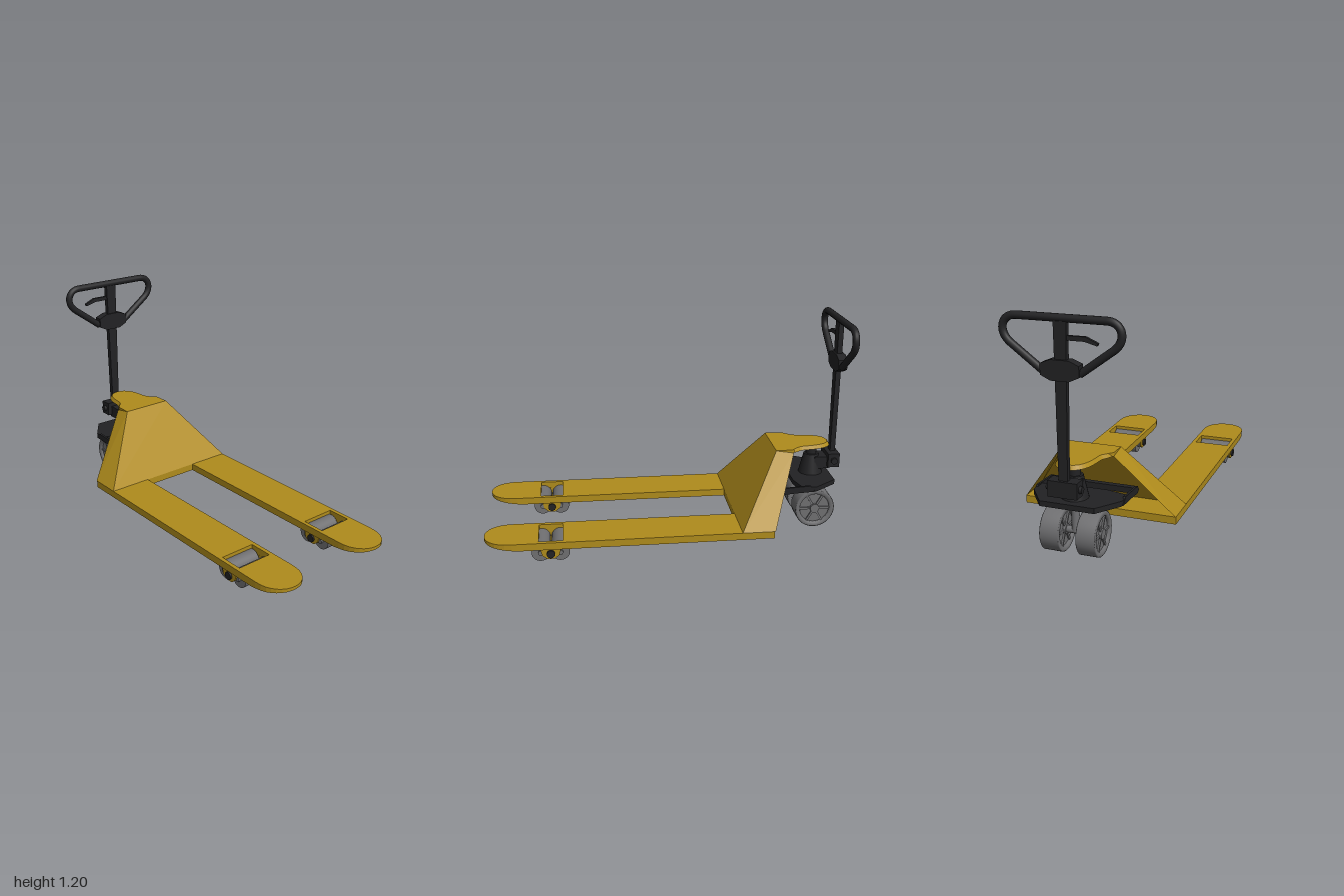
import * as THREE from 'three';

const mat = (color) => new THREE.MeshStandardMaterial({ color, side: THREE.DoubleSide });

export function createModel() {
  const root = new THREE.Group();
  root.name = 'palletTruck';
  const yellow = mat(0xb08c1c), black = mat(0x222224), grey = mat(0x707072);
  const flatYellow = yellow.clone();
  flatYellow.flatShading = true;

  const add = (name, geo, material, x = 0, y = 0, z = 0, parent = root) => {
    const m = new THREE.Mesh(geo, material);
    m.name = name;
    m.position.set(x, y, z);
    parent.add(m);
    return m;
  };
  const box = (name, material, x0, x1, y0, y1, z0, z1) =>
    add(name, new THREE.BoxGeometry(x1 - x0, y1 - y0, z1 - z0), material, (x0 + x1) / 2, (y0 + y1) / 2, (z0 + z1) / 2);
  const shapeOf = (pts) => new THREE.Shape(pts.map(([x, y]) => new THREE.Vector2(x, y)));
  const mirrored = (pts) => [...pts, ...pts.slice().reverse().map(([x, z]) => [x, -z])];
  // Plan shape (x, z) raised to a plate of the given thickness
  const plate = (shape, depth) =>
    new THREE.ExtrudeGeometry(shape, { depth, bevelEnabled: false }).rotateX(-Math.PI / 2);
  // Cylinder lying along z
  const axleGeo = (r, len, seg = 32) => new THREE.CylinderGeometry(r, r, len, seg).rotateX(Math.PI / 2);

  // Forks, each with a roller window, rounded and tapered tip, and twin rollers
  const half = 0.1225, bottom = 0.078, top = 0.118;
  for (const s of [1, -1]) {
    const fork = new THREE.Group();
    fork.name = s > 0 ? 'leftFork' : 'rightFork';
    fork.position.z = s * 0.2925;
    root.add(fork);

    const body = shapeOf([[-0.38, -half], [0.82, -half], [0.82, half], [-0.38, half]]);
    body.holes.push(shapeOf([[0.58, -0.1], [0.58, 0.1], [0.71, 0.1], [0.71, -0.1]]));
    add('forkBlade', plate(body, top - bottom), flatYellow, 0, bottom, 0, fork);

    const tipPts = [[0.82, -half]];
    for (let i = 0; i <= 16; i++) {
      const a = -Math.PI / 2 + (Math.PI * i) / 16;
      tipPts.push([0.85 + 0.15 * Math.pow(Math.abs(Math.cos(a)), 0.85), half * Math.sin(a)]);
    }
    tipPts.push([0.82, half]);
    const tip = plate(shapeOf(tipPts), top - bottom);
    const p = tip.attributes.position;
    for (let i = 0; i < p.count; i++)
      if (p.getY(i) < 0.01) p.setY(i, ((p.getX(i) - 0.82) / 0.18) * 0.022);
    tip.computeVertexNormals();
    add('forkTip', tip, flatYellow, 0, bottom, 0, fork);

    for (const x of [0.595, 0.7]) {
      add('loadRoller', axleGeo(0.05, 0.186), grey, x, 0.05, 0, fork);
      add('rollerPin', axleGeo(0.014, 0.21, 16), grey, x, 0.05, 0, fork);
    }
    // Roller carriers and their pivot bolts
    const carrier = shapeOf([[-0.055, 0.03], [0.055, 0.03], [0.045, -0.01], [0.02, -0.03], [-0.02, -0.03], [-0.045, -0.01]]);
    for (const t of [1, -1]) {
      const g = new THREE.ExtrudeGeometry(carrier, { depth: 0.014, bevelEnabled: false });
      add('rollerCarrier', g, flatYellow, 0.647, 0.05, t * 0.106 - 0.007, fork);
      add('pivotBolt', axleGeo(0.022, 0.012, 16), black, 0.647, 0.05, t * 0.117, fork);
    }
  }

  // Frame floor and the hollow sloped housing, open at the rear
  box('frameFloor', flatYellow, -0.555, -0.38, bottom, top, -0.415, 0.415);
  const quads = [];
  const quad = (a, b, c, d) => quads.push(...a, ...b, ...c, ...a, ...c, ...d);
  quad([-0.38, top, 0.415], [-0.38, top, -0.415], [-0.61, 0.477, -0.145], [-0.61, 0.477, 0.145]);
  quad([-0.56, top, 0.415], [-0.38, top, 0.415], [-0.61, 0.477, 0.145], [-0.71, 0.46, 0.145]);
  quad([-0.38, top, -0.415], [-0.56, top, -0.415], [-0.71, 0.46, -0.145], [-0.61, 0.477, -0.145]);
  const housing = new THREE.BufferGeometry();
  housing.setAttribute('position', new THREE.Float32BufferAttribute(quads, 3));
  housing.computeVertexNormals();
  add('housing', housing, flatYellow);

  // Tongue-shaped top plate with a drawn-in upper rim
  const curve = new THREE.SplineCurve(
    [[-0.7, 0.143], [-0.735, 0.125], [-0.77, 0.105], [-0.84, 0.096], [-0.9, 0.078], [-0.938, 0.045], [-0.95, 0]]
      .map(([x, z]) => new THREE.Vector2(x, z)));
  const side = curve.getPoints(18).map((v) => [v.x, v.y]);
  const tongue = plate(shapeOf(mirrored([[-0.61, 0.145], ...side.slice(0, -1), [-0.95, 0.003]])), 0.02);
  const tp = tongue.attributes.position;
  for (let i = 0; i < tp.count; i++)
    if (tp.getY(i) > 0.01 && tp.getX(i) < -0.72) {
      tp.setX(i, tp.getX(i) + 0.013 * Math.min(1, (-0.72 - tp.getX(i)) / 0.15));
      tp.setZ(i, tp.getZ(i) * 0.9);
    }
  tongue.computeVertexNormals();
  add('topPlate', tongue, flatYellow, 0, 0.458, 0);

  // Hydraulic pump, its base plate and the lift arms
  const base = shapeOf(mirrored([[-0.955, 0.14], [-0.83, 0.23], [-0.75, 0.235], [-0.72, 0.12]]));
  add('pumpBase', plate(base, 0.027), black, 0, 0.26, 0);
  add('pumpBody', new THREE.CylinderGeometry(0.042, 0.068, 0.115, 24), black, -0.85, 0.344, 0);
  add('pumpRam', new THREE.CylinderGeometry(0.03, 0.03, 0.08, 20), black, -0.85, 0.425, 0);
  const arm = shapeOf([[-0.82, 0.26], [-0.72, 0.255], [-0.62, 0.247], [-0.6, 0.26], [-0.62, 0.285], [-0.79, 0.295]]);
  for (const s of [1, -1])
    add('liftArm', new THREE.ExtrudeGeometry(arm, { depth: 0.012, bevelEnabled: false }), black, 0, 0, s * 0.229 - 0.006);
  box('liftCrossbar', black, -0.64, -0.61, 0.25, 0.28, -0.23, 0.23);

  // Steering spindle, axle and twin wheels
  add('steerSpindle', new THREE.CylinderGeometry(0.02, 0.02, 0.16, 20), grey, -0.85, 0.185, 0);
  add('steerAxle', axleGeo(0.018, 0.25, 20), grey, -0.85, 0.113, 0);
  const rim = [[0.085, -0.04], [0.09, -0.05], [0.108, -0.05], [0.113, -0.046], [0.113, 0.046], [0.108, 0.05], [0.09, 0.05], [0.085, 0.04]];
  const rimPts = [...rim, rim[0]].map(([r, y]) => new THREE.Vector2(r, y));
  for (const s of [1, -1]) {
    const wheel = new THREE.Group();
    wheel.name = s > 0 ? 'leftSteerWheel' : 'rightSteerWheel';
    wheel.position.set(-0.85, 0.113, s * 0.094);
    root.add(wheel);
    add('tyre', new THREE.LatheGeometry(rimPts, 48).rotateX(Math.PI / 2), grey, 0, 0, 0, wheel);
    add('wheelDisc', axleGeo(0.087, 0.07), grey, 0, 0, 0, wheel);
    add('wheelHub', axleGeo(0.026, 0.1, 24), grey, 0, 0, 0, wheel);
    for (let i = 0; i < 6; i++) {
      const a = (i * Math.PI) / 3;
      const spoke = add('wheelSpoke', new THREE.BoxGeometry(0.066, 0.012, 0.086), grey, Math.cos(a) * 0.055, Math.sin(a) * 0.055, 0, wheel);
      spoke.rotation.z = a;
    }
  }

  // Tiller bracket and tapered shaft
  const tx = -0.97;
  box('tillerBracket', black, -0.998, -0.932, 0.335, 0.415, -0.075, 0.075);
  box('tillerLink', black, -0.945, -0.86, 0.32, 0.39, -0.05, 0.05);
  add('tillerPin', axleGeo(0.018, 0.18, 16), black, -0.965, 0.375, 0);
  const shaft = new THREE.BoxGeometry(0.028, 0.82, 0.064);
  const sp = shaft.attributes.position;
  for (let i = 0; i < sp.count; i++) if (sp.getY(i) < 0) sp.setZ(i, sp.getZ(i) * 0.68);
  add('tillerShaft', shaft, black, tx, 0.77, 0);

  // Octagonal handle hub
  const hubShape = shapeOf([[-0.045, 0.992], [-0.095, 0.972], [-0.095, 0.918], [-0.045, 0.895], [0.045, 0.895], [0.095, 0.918], [0.095, 0.972], [0.045, 0.992]]);
  add('handleHub', new THREE.ExtrudeGeometry(hubShape, { depth: 0.05, bevelEnabled: false }).rotateY(-Math.PI / 2), black, -0.947, 0, 0);

  // Handle loop: straight runs joined by rounded corners
  const V = (y, z) => new THREE.Vector3(tx, y, z);
  const path = new THREE.CurvePath();
  path.add(new THREE.LineCurve3(V(0.93, 0.09), V(1.05, 0.252)));
  path.add(new THREE.CubicBezierCurve3(V(1.05, 0.252), V(1.1, 0.315), V(1.178, 0.292), V(1.178, 0.22)));
  path.add(new THREE.LineCurve3(V(1.178, 0.22), V(1.178, -0.22)));
  path.add(new THREE.CubicBezierCurve3(V(1.178, -0.22), V(1.178, -0.292), V(1.1, -0.315), V(1.05, -0.252)));
  path.add(new THREE.LineCurve3(V(1.05, -0.252), V(0.93, -0.09)));
  add('handleLoop', new THREE.TubeGeometry(path, 120, 0.019, 14), black);

  // Release lever
  const lever = shapeOf([[0.02, 1.08], [0.115, 1.08], [0.175, 1.064], [0.18, 1.076], [0.12, 1.102], [0.02, 1.102]]);
  add('releaseLever', new THREE.ExtrudeGeometry(lever, { depth: 0.016, bevelEnabled: false }).rotateY(-Math.PI / 2), black, tx + 0.008, 0, 0);

  return root;
}
